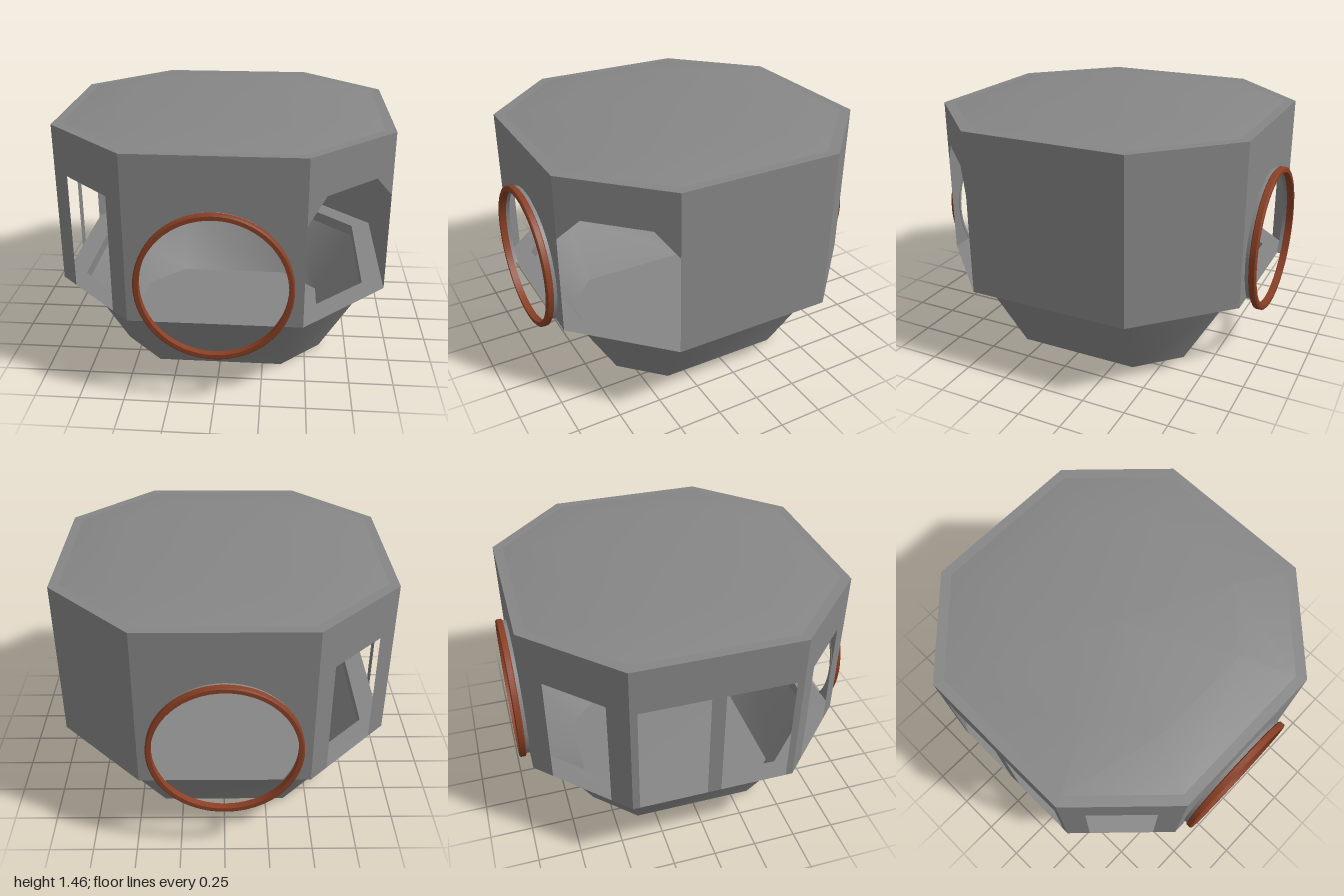
import * as THREE from 'three';
import { toCreasedNormals } from 'three/addons/utils/BufferGeometryUtils.js';

const FLOOR = 0.47, EAVE = 1.41, HOLE_Y = 0.705;

// Skin through chamfered-square sections [half width, half flat side, y]
function loft(sections, smooth) {
  const pos = [], idx = [];
  for (const [w, a, y] of sections) {
    for (const [x, z] of [[a, w], [w, a], [w, -a], [a, -w], [-a, -w], [-w, -a], [-w, a], [-a, w]]) pos.push(x, y, z);
  }
  for (let s = 0; s < sections.length - 1; s++) {
    for (let i = 0; i < 8; i++) {
      const b = s * 8 + i, c = s * 8 + (i + 1) % 8;
      idx.push(b, c, c + 8, b, c + 8, b + 8);
    }
  }
  let g = new THREE.BufferGeometry();
  g.setAttribute('position', new THREE.Float32BufferAttribute(pos, 3));
  g.setIndex(idx);
  if (!smooth) g = g.toNonIndexed();
  g.computeVertexNormals();
  return g;
}

export function createModel() {
  const model = new THREE.Group();
  const hull = new THREE.MeshStandardMaterial({ color: 0x868686, side: THREE.DoubleSide });
  hull.name = 'hull grey';
  const copper = new THREE.MeshStandardMaterial({ color: 0x8a4025 });
  copper.name = 'copper brown';

  const add = (name, geometry, material = hull, parent = model) => {
    const m = new THREE.Mesh(geometry, material);
    m.name = name;
    parent.add(m);
    return m;
  };

  // Open bowl below the cabin
  add('bowlBottom', loft([[0, 0, 0], [0.59, 0.36, 0]], false));
  add('bowlSide', loft([[0.59, 0.36, 0], [0.82, 0.41, 0.4]], true));
  add('bowlLip', loft([[0.82, 0.41, 0.4], [0.82, 0.41, FLOOR]], false));
  add('flange', loft([[0.82, 0.41, FLOOR], [0.94, 0.47, FLOOR]], false));

  // Roof: flat rim and shallow raised top
  add('roofRim', loft([[0.94, 0.47, EAVE], [0.885, 0.443, EAVE]], false));
  add('roof', loft([[0.885, 0.443, EAVE], [0.6, 0.3, 1.46], [0, 0, 1.46]], true));

  // Wall panel: its lower outline holds the opening, the top is straight
  const wide = 0.47, narrow = 0.47 / Math.SQRT2;
  const doorway = (x, half) => [[x - half, FLOOR], [x - half, 1.145], [x + half, 1.145], [x + half, FLOOR]];
  const wall = (name, turn, half, opening, corners = true) => {
    const pts = [[-half, EAVE]];
    if (corners) pts.push([-half, FLOOR]);
    pts.push(...opening);
    if (corners) pts.push([half, FLOOR]);
    pts.push([half, EAVE]);
    const g = new THREE.ShapeGeometry(new THREE.Shape(pts.map(p => new THREE.Vector2(...p))));
    g.translate(0, 0, half === wide ? 0.94 : 1.41 / Math.SQRT2);
    add(name, g).rotation.y = turn * Math.PI / 4;
  };

  // Round opening cut off by the bottom of the wall
  const dip = Math.asin((HOLE_Y - FLOOR) / 0.4);
  const arch = [];
  for (let i = 0; i <= 48; i++) {
    const t = Math.PI + dip - (Math.PI + 2 * dip) * i / 48;
    arch.push([0.4 * Math.cos(t), HOLE_Y + 0.4 * Math.sin(t)]);
  }

  wall('frontWall', 0, wide, arch);
  wall('frontLeftWall', 1, narrow, [[-narrow, 1.05], [-0.195, 1.18], [0.195, 1.18], [narrow, 1.05]], false);
  wall('leftWall', 2, wide, []);
  wall('backLeftWall', 3, narrow, []);
  wall('backWall', 4, wide, arch);
  wall('backRightWall', 5, narrow, doorway(0, 0.195));
  wall('rightWall', 6, wide, [...doorway(-0.235, 0.195), ...doorway(0.235, 0.195)]);
  wall('frontRightWall', 7, narrow, doorway(0, 0.195));

  // Docking rings with short collars, front and back
  const profile = [[0.39, -0.02], [0.412, -0.02], [0.42, -0.014], [0.42, 0.014], [0.412, 0.02], [0.39, 0.02], [0.39, -0.02]];
  const ringGeo = toCreasedNormals(
    new THREE.LatheGeometry(profile.map(p => new THREE.Vector2(...p)), 64).rotateX(Math.PI / 2), 0.6);
  const sector = new THREE.Shape();
  sector.absarc(0, 0, 0.41, -dip, Math.PI + dip, false);
  sector.absarc(0, 0, 0.395, Math.PI + dip, -dip, true);
  const collarGeo = new THREE.ExtrudeGeometry(sector, { depth: 0.025, bevelEnabled: false, curveSegments: 48 });
  for (const [name, turn] of [['front', 0], ['back', Math.PI]]) {
    const port = new THREE.Group();
    port.name = name + 'Port';
    port.rotation.y = turn;
    add(name + 'Ring', ringGeo, copper, port).position.set(0, HOLE_Y, 0.98);
    add(name + 'Collar', collarGeo, hull, port).position.set(0, HOLE_Y, 0.937);
    model.add(port);
  }
  return model;
}
